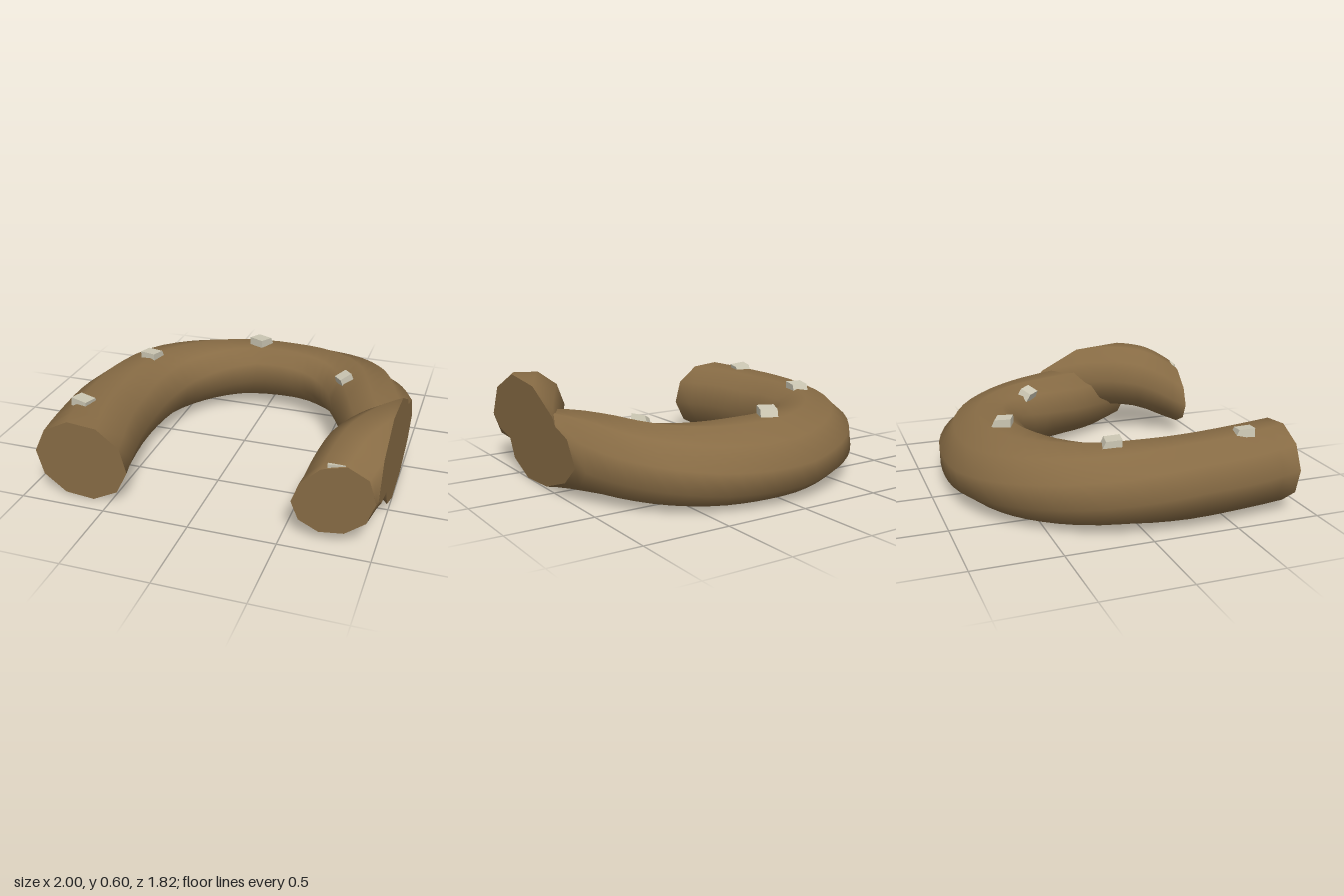
import * as THREE from 'three';

const FRONT = 0.91, SIDE = 1.0; // cutting planes: z = FRONT, x = SIDE
const SIDES = 10;

// Flat end face as a fan round its centre
function capGeometry(ring, flip) {
  const c = ring.reduce((s, p) => s.add(p), new THREE.Vector3()).divideScalar(ring.length);
  const pts = [];
  ring.forEach((p, j) => {
    const q = ring[(j + 1) % ring.length];
    pts.push(...(flip ? [c, q, p] : [c, p, q]));
  });
  const g = new THREE.BufferGeometry().setFromPoints(pts);
  g.computeVertexNormals();
  return g;
}

// Root along a path of [x, y, z, half width, half height, roll],
// each lengthwise line trimmed at the cutting planes
function buildRoot(name, path, segments, material) {
  const curve = new THREE.CatmullRomCurve3(path.map(p => new THREE.Vector3(p[0], p[1], p[2])), false, 'centripetal');
  const up = new THREE.Vector3(0, 1, 0);
  const point = (t, j) => {
    const c = curve.getPoint(t), dir = curve.getTangent(t);
    const side = dir.clone().cross(up).normalize();
    const n = side.clone().cross(dir);
    const f = t * (path.length - 1), k = Math.min(Math.floor(f), path.length - 2);
    const [w, h, roll] = [3, 4, 5].map(q => THREE.MathUtils.lerp(path[k][q], path[k + 1][q], f - k));
    const a = j / SIDES * Math.PI * 2;
    const u = w * Math.cos(a), v = h * Math.sin(a);
    return c.addScaledVector(side, u * Math.cos(roll) - v * Math.sin(roll))
      .addScaledVector(n, u * Math.sin(roll) + v * Math.cos(roll));
  };
  const inside = (t, j) => { const p = point(t, j); return p.z <= FRONT && p.x <= SIDE; };
  const refine = (tIn, tOut, j) => {
    for (let k = 0; k < 24; k++) {
      const m = (tIn + tOut) / 2;
      if (inside(m, j)) tIn = m; else tOut = m;
    }
    return tIn;
  };
  const lines = [];
  for (let j = 0; j < SIDES; j++) {
    const M = 200;
    let a = 0;
    while (a < M && !inside(a / M, j)) a++;
    let b = a;
    while (b < M && inside((b + 1) / M, j)) b++;
    const t0 = a > 0 ? refine(a / M, (a - 1) / M, j) : 0;
    const t1 = b < M ? refine(b / M, (b + 1) / M, j) : 1;
    lines.push(Array.from({ length: segments + 1 }, (_, i) => point(THREE.MathUtils.lerp(t0, t1, i / segments), j)));
  }
  const pts = [], index = [];
  for (let i = 0; i <= segments; i++) {
    for (let j = 0; j < SIDES; j++) {
      pts.push(lines[j][i]);
      if (i === segments) continue;
      const a = i * SIDES + j, b = i * SIDES + (j + 1) % SIDES;
      index.push(a, a + SIDES, b, b, a + SIDES, b + SIDES);
    }
  }
  const bark = new THREE.BufferGeometry().setFromPoints(pts);
  bark.setIndex(index);
  bark.computeVertexNormals();

  const group = new THREE.Group();
  group.name = name;
  const add = (part, geometry) => {
    const m = new THREE.Mesh(geometry, material);
    m.name = part;
    group.add(m);
  };
  add('bark', bark);
  add('startCut', capGeometry(lines.map(l => l[0]), false));
  add('endCut', capGeometry(lines.map(l => l[segments]), true));
  return group;
}

// Box whose upper back edge is pulled forward, like a chipped stone
function stoneGeometry(w, h, d) {
  const g = new THREE.BoxGeometry(w, h, d).toNonIndexed();
  const p = g.attributes.position;
  for (let i = 0; i < p.count; i++) {
    if (p.getY(i) > 0 && p.getZ(i) < 0) p.setXYZ(i, p.getX(i), p.getY(i) - 0.008, p.getZ(i) + 0.02);
  }
  g.computeVertexNormals();
  return g;
}

export function createModel() {
  const brown = new THREE.MeshStandardMaterial({ color: 0x886c45 });
  brown.name = 'brown';
  const pale = new THREE.MeshStandardMaterial({ color: 0xcdc8b4 });
  pale.name = 'paleStone';

  const model = new THREE.Group();
  model.name = 'loopedRoot';

  // Main arch, leaving through the side plane
  model.add(buildRoot('archRoot', [
    [-0.585, 0.237, 1.25, 0.275, 0.24, -0.1], [-0.663, 0.237, 0.91, 0.274, 0.24, -0.1],
    [-0.715, 0.235, 0.6, 0.264, 0.238, 0], [-0.74, 0.232, 0.3, 0.26, 0.235, 0],
    [-0.72, 0.23, 0.04, 0.26, 0.23, 0.1], [-0.64, 0.227, -0.24, 0.263, 0.22, 0.2],
    [-0.5, 0.224, -0.43, 0.268, 0.208, 0.3], [-0.33, 0.222, -0.555, 0.274, 0.198, 0.4],
    [-0.1, 0.22, -0.64, 0.28, 0.188, 0.5], [0.13, 0.22, -0.655, 0.28, 0.186, 0.5],
    [0.35, 0.221, -0.625, 0.276, 0.19, 0.45], [0.54, 0.225, -0.53, 0.268, 0.2, 0.35],
    [0.68, 0.23, -0.375, 0.255, 0.212, 0.25], [0.77, 0.235, -0.2, 0.245, 0.22, 0.12],
    [0.885, 0.232, 0.05, 0.24, 0.224, 0], [1.0, 0.215, 0.24, 0.235, 0.224, 0],
    [1.15, 0.21, 0.45, 0.235, 0.224, 0], [1.45, 0.21, 0.78, 0.235, 0.224, 0],
    [1.75, 0.21, 1.1, 0.235, 0.224, 0],
  ], 34, brown));

  // Returning branch that crosses over the arch
  model.add(buildRoot('crossingRoot', [
    [0.65, 0.15, 1.2, 0.205, 0.175, 0], [0.768, 0.248, 0.91, 0.206, 0.177, 0],
    [0.815, 0.325, 0.78, 0.215, 0.2, 0], [0.87, 0.378, 0.65, 0.23, 0.218, 0],
    [0.965, 0.388, 0.47, 0.235, 0.222, 0], [1.08, 0.355, 0.25, 0.235, 0.218, 0],
    [1.22, 0.28, -0.03, 0.235, 0.215, 0], [1.45, 0.18, -0.5, 0.235, 0.215, 0],
  ], 14, brown));

  // Small stones resting on top: position, size, yaw, sideways tilt
  [
    [-0.76, 0.468, 0.63, 0.1, 0.05, 0.11, -0.2, -0.12],
    [-0.66, 0.46, -0.12, 0.1, 0.05, 0.11, -0.2, 0],
    [-0.065, 0.449, -0.575, 0.1, 0.05, 0.115, -0.42, 0],
    [0.565, 0.412, -0.245, 0.08, 0.06, 0.1, 0.7, 0.4],
    [0.78, 0.45, 0.855, 0.095, 0.05, 0.1, 0, 0.08],
  ].forEach(([x, y, z, w, h, d, yaw, tilt], i) => {
    const stone = new THREE.Mesh(stoneGeometry(w, h, d), pale);
    stone.name = 'stone' + (i + 1);
    stone.position.set(x, y, z);
    stone.rotation.set(0, yaw, tilt, 'YXZ');
    model.add(stone);
  });
  return model;
}
